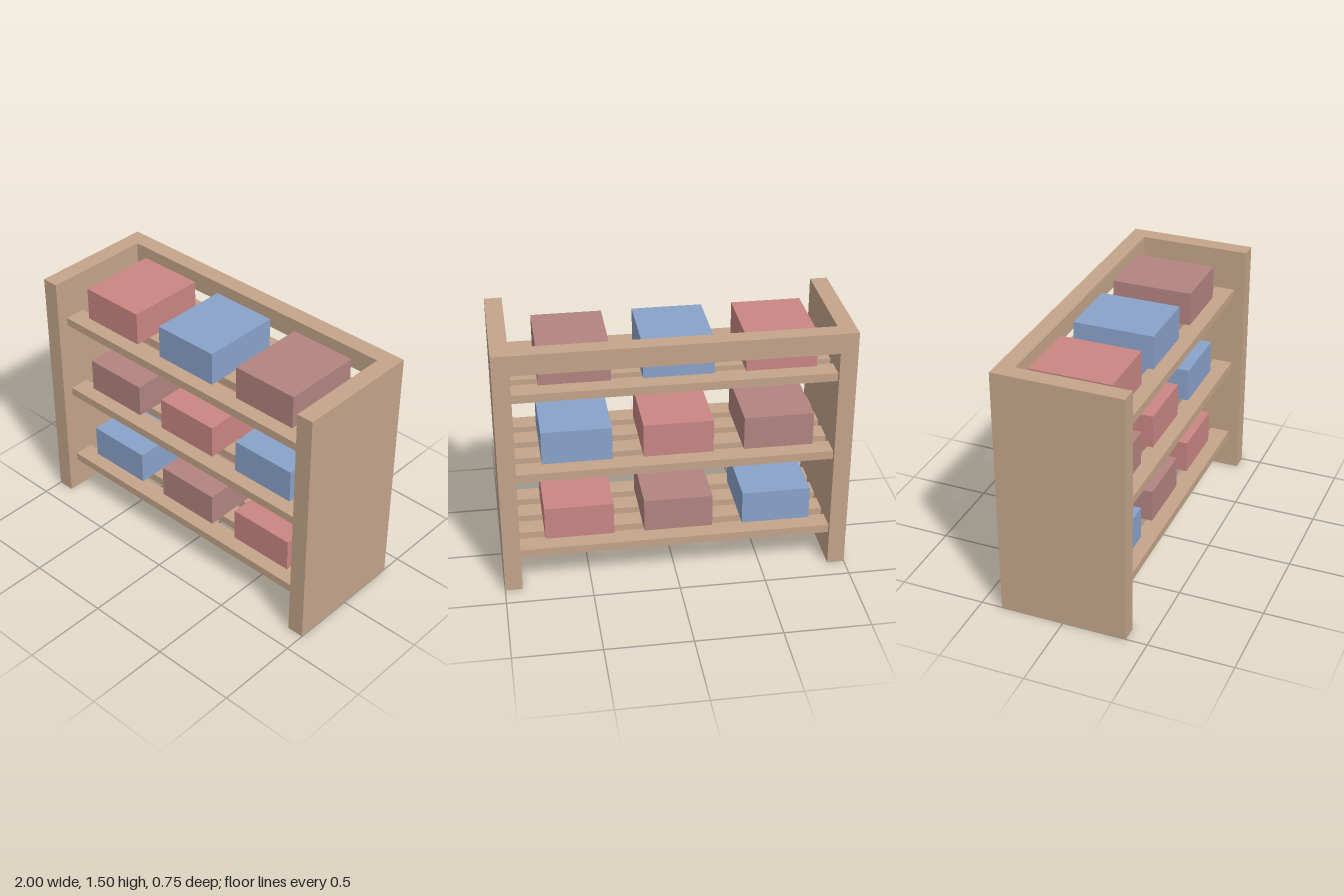
import * as THREE from 'three';

const mat = (name, color) => {
  const m = new THREE.MeshStandardMaterial({ color });
  m.name = name;
  return m;
};

export function createModel() {
  const wood = mat('wood', 0xc4a58a);
  const red = mat('red', 0xc98683);
  const blue = mat('blue', 0x8aa2ca);
  const mauve = mat('mauve', 0xb28480);

  const rack = new THREE.Group();
  rack.name = 'storageRack';

  // Box of size w, h, d resting on height y
  const addBox = (parent, name, material, w, h, d, x, y, z) => {
    const mesh = new THREE.Mesh(new THREE.BoxGeometry(w, h, d), material);
    mesh.name = name;
    mesh.position.set(x, y + h / 2, z);
    parent.add(mesh);
  };

  // Side panels and the rail across the top of the back
  addBox(rack, 'leftPanel', wood, 0.1, 1.5, 0.75, 0.95, 0, 0);
  addBox(rack, 'rightPanel', wood, 0.1, 1.5, 0.75, -0.95, 0, 0);
  addBox(rack, 'backRail', wood, 1.8, 0.12, 0.1, 0, 1.38, -0.325);

  // Slatted shelves, each holding three bins; colours shift from shelf to shelf
  const rows = [[blue, mauve, red], [mauve, red, blue], [red, blue, mauve]];
  rows.forEach((colors, row) => {
    const shelf = new THREE.Group();
    shelf.name = `shelf${row + 1}`;
    shelf.position.y = 0.2 + row * 0.5;
    for (let i = 0; i < 4; i++) {
      addBox(shelf, `slat${i + 1}`, wood, 1.8, 0.05, 0.12, 0, 0, -0.29 + i * 0.18);
    }
    colors.forEach((color, i) => {
      addBox(shelf, `bin${i + 1}`, color, 0.4, 0.2, 0.475, -0.603 + i * 0.576, 0.05, -0.013);
    });
    rack.add(shelf);
  });

  return rack;
}
